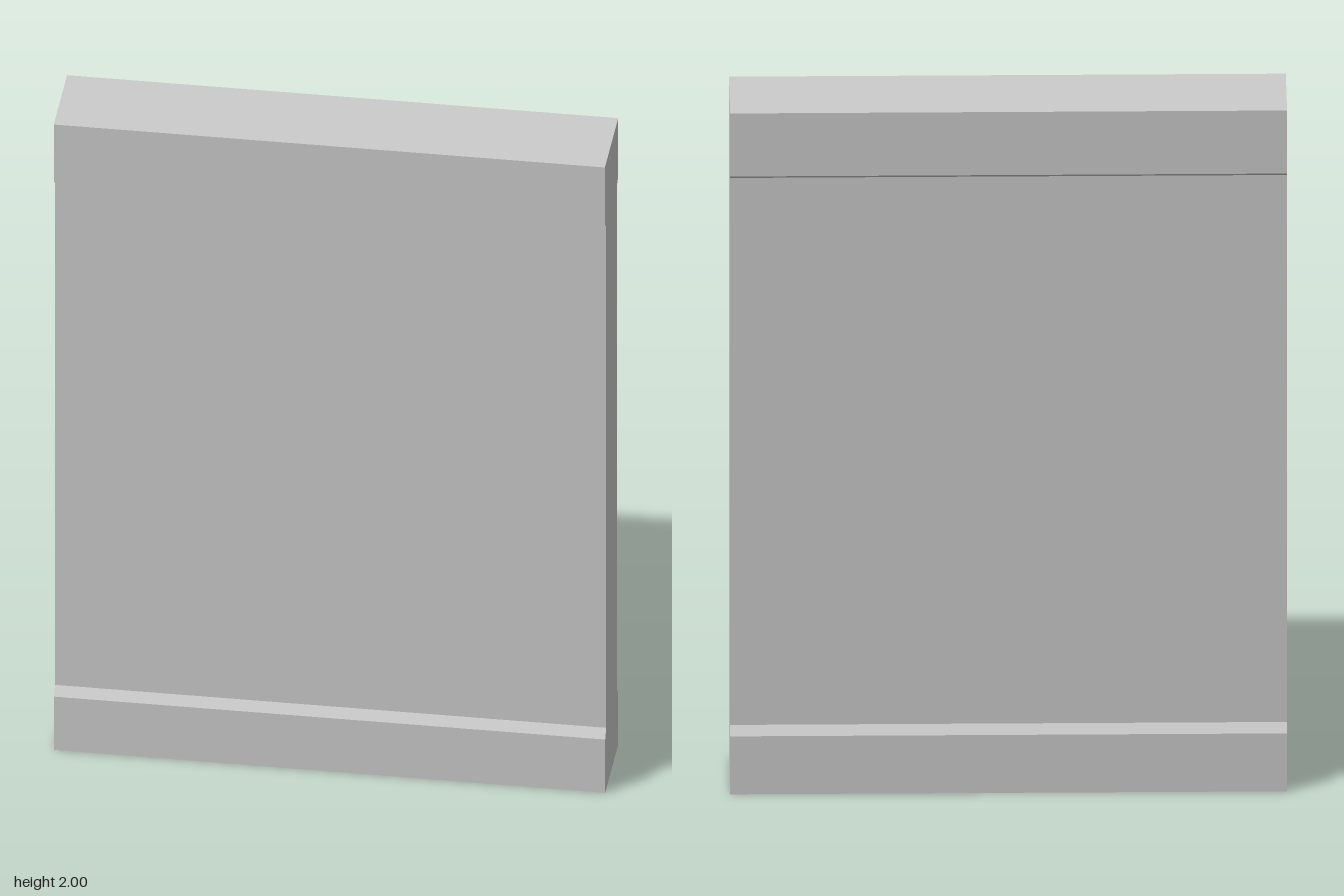
import * as THREE from 'three';

const WIDTH = 1.5;

// Half of the wall's cross-section, bottom to top: [half depth, height]
const halfProfile = [
  [0.12, 0], [0.12, 0.17],       // skirting
  [0.1, 0.195], [0.1, 1.8],      // chamfer, then the plain wall face
  [0.125, 1.815], [0.125, 2],    // chamfer, then the top rail
];

export function createModel() {
  const group = new THREE.Group();
  group.name = 'wallPanel';

  // Mirror the half profile to get the same mouldings front and back
  const mirrored = halfProfile.map(([d, y]) => [-d, y]).reverse();
  const outline = [...halfProfile, ...mirrored].map(([d, y]) => new THREE.Vector2(d, y));

  // Run the section along x
  const geometry = new THREE.ExtrudeGeometry(new THREE.Shape(outline), {
    depth: WIDTH,
    bevelEnabled: false,
  });
  geometry.translate(0, 0, -WIDTH / 2);
  geometry.rotateY(Math.PI / 2);

  const wall = new THREE.Mesh(
    geometry,
    new THREE.MeshStandardMaterial({ color: 0xcccccc, flatShading: true }),
  );
  wall.name = 'wallWithSkirtingAndTopRail';
  group.add(wall);

  return group;
}
